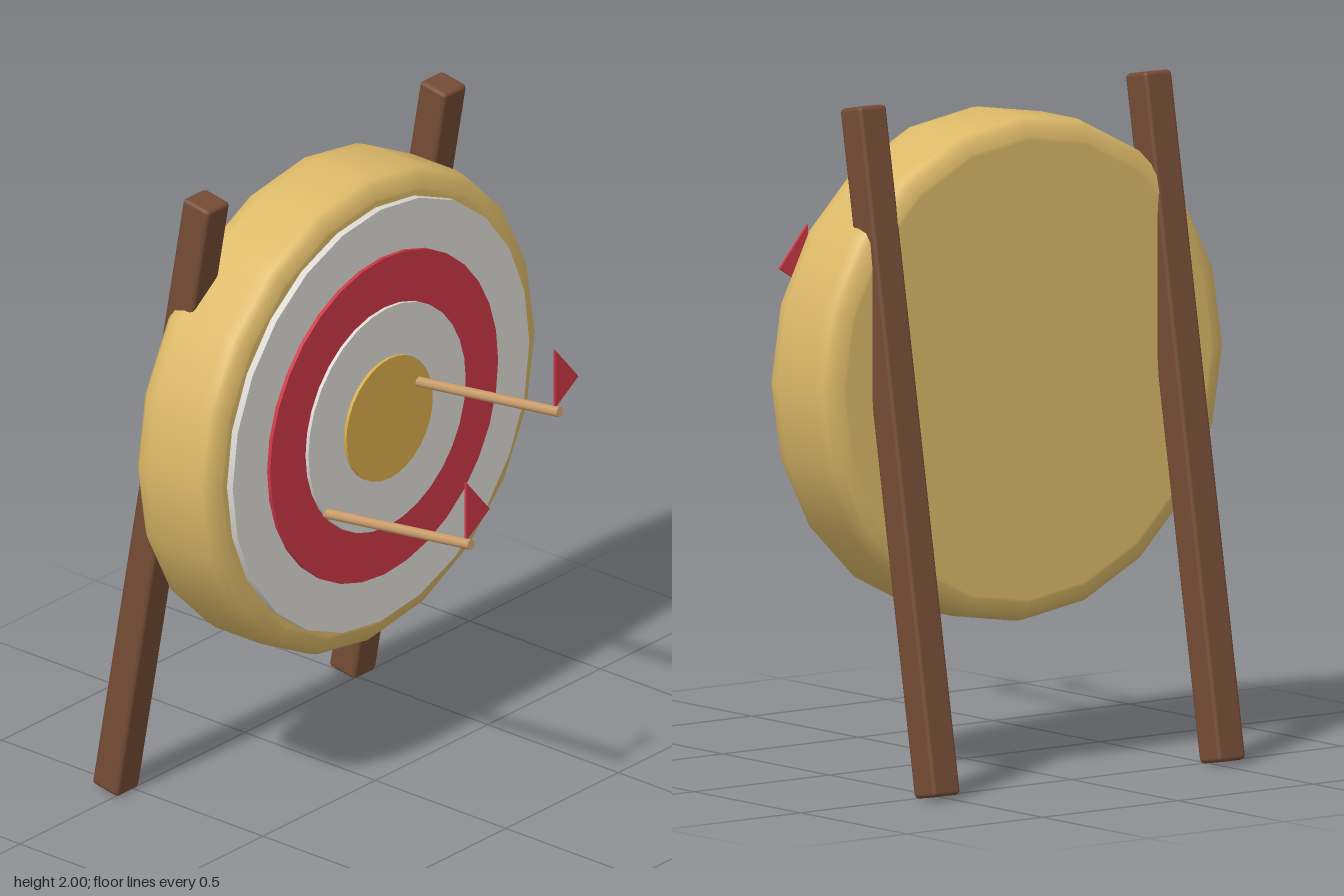
import * as THREE from 'three';
import { RoundedBoxGeometry } from 'three/addons/geometries/RoundedBoxGeometry.js';

const material = (name, color, extra = {}) => {
  const m = new THREE.MeshStandardMaterial({ color, ...extra });
  m.name = name;
  return m;
};

export function createModel() {
  const model = new THREE.Group();
  model.name = 'archeryTarget';

  const straw = material('straw', 0xddba69);
  const white = material('white paint', 0xdcd9d3);
  const red = material('red paint', 0xcc3846);
  const gold = material('gold paint', 0xd8ac4a);
  const darkWood = material('dark wood', 0x754c35);
  const lightWood = material('light wood', 0xc99d6b);
  const fletching = material('red fletching', 0xcc3846, { side: THREE.DoubleSide });
  fletching.color.copy(red.color);

  const add = (parent, name, geometry, mat) => {
    const mesh = new THREE.Mesh(geometry, mat);
    mesh.name = name;
    parent.add(mesh);
    return mesh;
  };

  const centreY = 1.18;

  // Straw drum with rounded rims
  const profile = [
    [0, -0.3], [0.675, -0.3], [0.685, -0.3], [0.72, -0.29], [0.738, -0.27],
    [0.745, -0.235], [0.745, -0.065], [0.738, -0.03], [0.72, -0.01],
    [0.685, 0], [0.675, 0], [0, 0],
  ].map(([r, z]) => new THREE.Vector2(r, z));
  const drum = add(model, 'strawDrum', new THREE.LatheGeometry(profile, 20).rotateX(Math.PI / 2), straw);
  drum.position.y = centreY;

  // Stacked scoring discs, each a little prouder than the last
  const discs = [
    ['outerWhiteRing', 0.66, 0.022, white, 24],
    ['redRing', 0.507, 0.034, red, 32],
    ['innerWhiteRing', 0.35, 0.045, white, 32],
    ['goldCentre', 0.192, 0.055, gold, 32],
  ];
  for (const [name, radius, front, mat, sides] of discs) {
    const disc = add(model, name, new THREE.CylinderGeometry(radius, radius, front, sides).rotateX(Math.PI / 2), mat);
    disc.position.set(0, centreY, front / 2);
  }

  // Pair of leaning posts behind the drum
  for (const side of [1, -1]) {
    const post = add(model, side > 0 ? 'leftPost' : 'rightPost',
      new RoundedBoxGeometry(0.1, 2.015, 0.1, 1, 0.012), darkWood);
    post.position.set(side * 0.527, 1, -0.367);
    post.rotation.x = THREE.MathUtils.degToRad(10);
  }

  // Arrows: a tilted shaft with one triangular vane at the tail
  const vaneShape = new THREE.Shape([
    new THREE.Vector2(0, 0), new THREE.Vector2(0.103, 0.065), new THREE.Vector2(0, 0.185),
  ]);
  [['upperArrow', 0.13, 1.25], ['lowerArrow', -0.265, 0.966]].forEach(([name, x, y]) => {
    const arrow = new THREE.Group();
    arrow.name = name;
    arrow.position.set(x, y, 0.04);
    model.add(arrow);
    const tail = new THREE.Vector3(0, 0.07, 0.555);
    const shaft = add(arrow, 'shaft', new THREE.CylinderGeometry(0.016, 0.016, tail.length(), 8), lightWood);
    shaft.position.copy(tail).multiplyScalar(0.5);
    shaft.quaternion.setFromUnitVectors(new THREE.Vector3(0, 1, 0), tail.clone().normalize());
    const vane = add(arrow, 'vane',
      new THREE.ExtrudeGeometry(vaneShape, { depth: 0.008, bevelEnabled: false }), fletching);
    vane.position.set(0.002, 0.077, 0.528);
  });

  return model;
}
